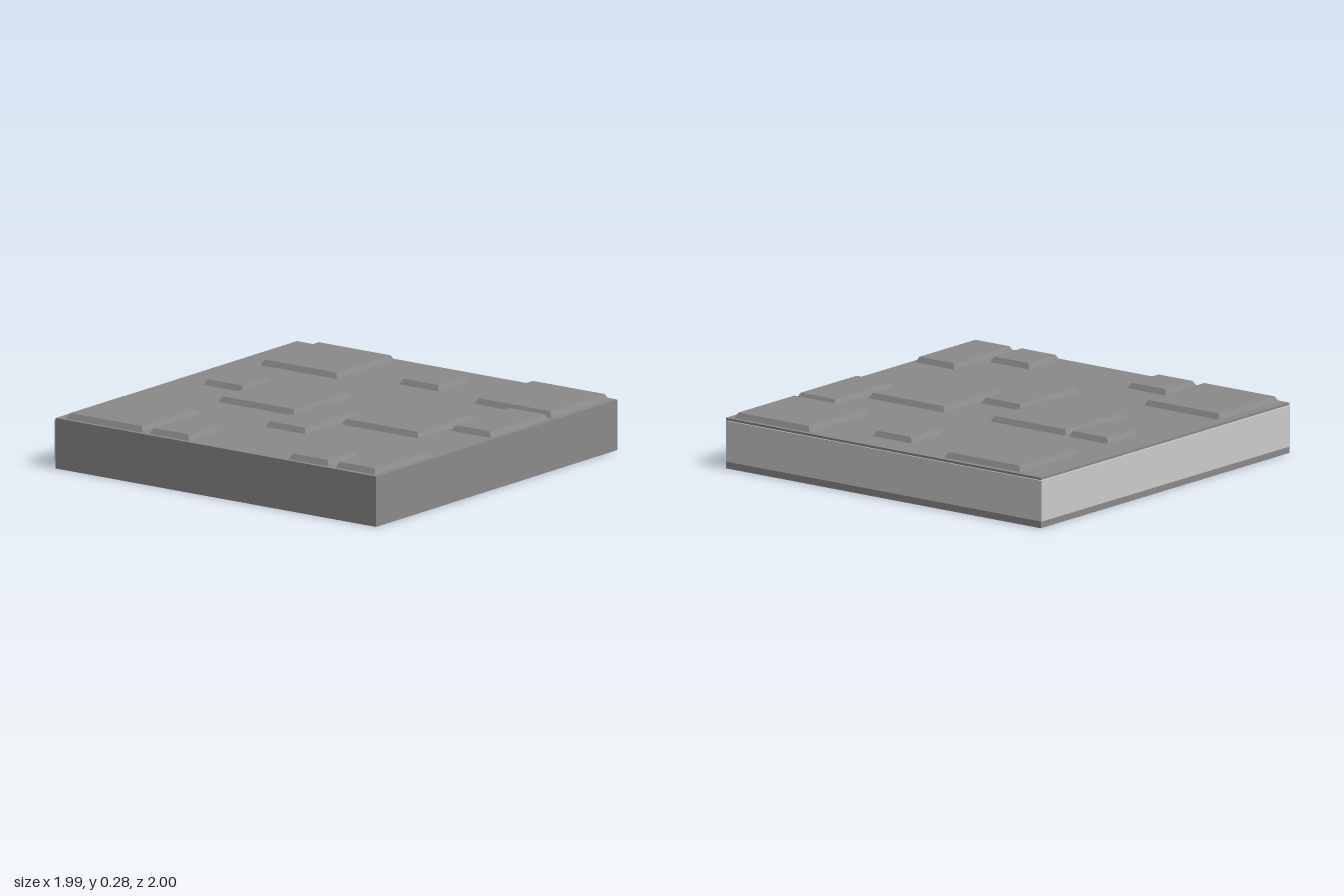
import * as THREE from 'three';

export function createModel() {
  const group = new THREE.Group();
  group.name = 'panelledSlab';
  const dark = new THREE.MeshStandardMaterial({ color: 0x8a8a8a, flatShading: true });
  const light = new THREE.MeshStandardMaterial({ color: 0xcccccc, flatShading: true });

  // Box given by its low and high corners
  function box(name, material, [x0, y0, z0], [x1, y1, z1]) {
    const mesh = new THREE.Mesh(new THREE.BoxGeometry(x1 - x0, y1 - y0, z1 - z0), material);
    mesh.position.set((x0 + x1) / 2, (y0 + y1) / 2, (z0 + z1) / 2);
    mesh.name = name;
    group.add(mesh);
    return mesh;
  }

  // Main slab
  const top = 0.257;
  box('slab', dark, [-0.993, 0, -0.988], [0.985, top, 1]);

  // Pale plates standing slightly proud of the right-hand and back edges
  box('sidePlate', light, [0.975, 0.037, -0.99], [0.993, 0.245, 0.991]);
  box('backPlate', light, [-0.985, 0.037, -1], [0.993, 0.245, -0.978]);

  // Raised tiles with sloping edges: centre x, centre z, width, depth
  const L = 0.475, S = 0.245;
  const tiles = [
    [-0.736, -0.701, L, L], [0.72, -0.597, L, L], [-0.006, -0.31, L, L],
    [-0.006, 0.458, L, L], [0.726, 0.726, L, L],
    [-0.848, -0.3, S, S], [0.112, -0.692, S, S], [0.706, 0.074, S, S], [-0.848, 0.565, S, S],
    [-0.274, 0.074, L, S], [-0.73, 0.853, L, S], [0.215, 0.853, L, S],
  ];
  const bevel = 0.015, height = 0.028;
  tiles.forEach(([x, z, w, d], i) => {
    const tile = box(`tile${i + 1}`, dark,
      [x - w / 2, top, z - d / 2], [x + w / 2, top + height, z + d / 2]);
    // Draw the upper corners inwards
    const p = tile.geometry.attributes.position;
    for (let k = 0; k < p.count; k++) {
      if (p.getY(k) > 0) {
        p.setX(k, p.getX(k) - Math.sign(p.getX(k)) * bevel);
        p.setZ(k, p.getZ(k) - Math.sign(p.getZ(k)) * bevel);
      }
    }
    tile.geometry.computeVertexNormals();
  });

  return group;
}
